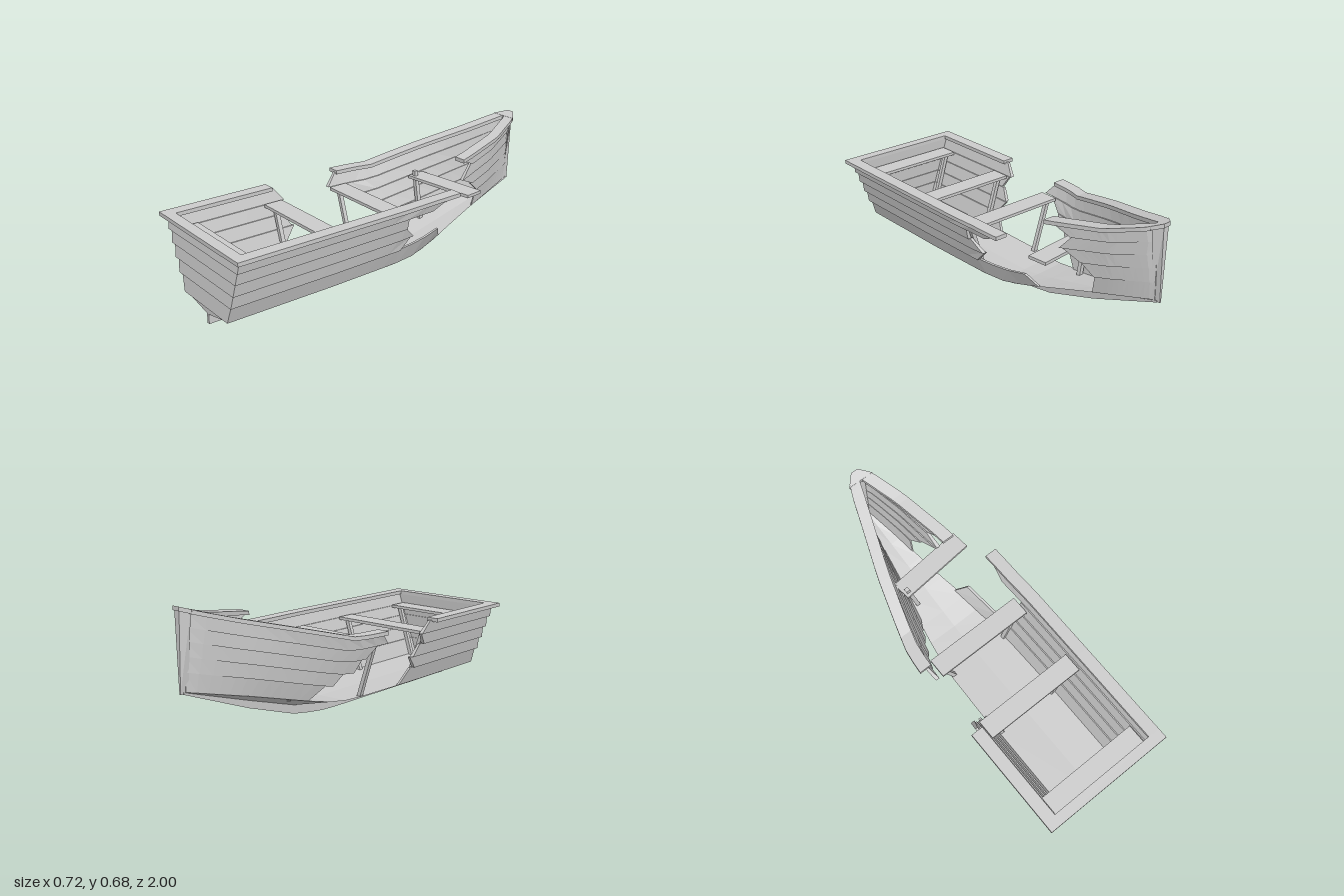
import * as THREE from 'three';

const mat = new THREE.MeshStandardMaterial({ color: 0xcccccc, flatShading: true });
const { lerp, clamp } = THREE.MathUtils;

// Piecewise linear lookup through [z, value] pairs, ordered from stern (+z) to bow (-z).
function along(table) {
  return z => {
    if (z >= table[0][0]) return table[0][1];
    for (let i = 1; i < table.length; i++) {
      const [z0, a] = table[i - 1], [z1, b] = table[i];
      if (z >= z1) return lerp(a, b, (z - z0) / (z1 - z0));
    }
    return table[table.length - 1][1];
  };
}

// Lines of the hull
const rimHalf = along([[0, 0.362], [-0.12, 0.352], [-0.3, 0.3], [-0.51, 0.235], [-0.76, 0.14], [-0.95, 0.07], [-1, 0.02]]);
const rimY = along([[-0.2, 0.455], [-0.45, 0.522], [-0.75, 0.6], [-0.95, 0.657], [-1, 0.675]]);
const chineHalf = along([[0.4, 0.2], [0, 0.19], [-0.15, 0.17], [-0.3, 0.145], [-0.5, 0.1], [-0.75, 0.055], [-0.98, 0.008]]);
const chineY = along([[-0.15, 0.09], [-0.35, 0.135], [-0.65, 0.212], [-0.98, 0.29]]);
const hullKeelY = along([[-0.1, 0.05], [-0.3, 0.075], [-0.6, 0.165], [-0.98, 0.285]]);
const keelY = along([[-0.05, 0], [-0.15, 0.008], [-0.3, 0.032], [-0.6, 0.13], [-0.98, 0.278]]);
const LEVELS = [0, 0.248, 0.445, 0.634, 0.811, 1];
const STATIONS = [0.97, 0.4, 0, -0.1, -0.2, -0.3, -0.45, -0.6, -0.75, -0.87, -0.98];

// Closed solid through rings of corner points, with capped ends
function loft(rings) {
  const tris = [], n = rings[0].length;
  for (let i = 0; i + 1 < rings.length; i++) {
    for (let j = 0; j < n; j++) {
      const k = (j + 1) % n, a = rings[i], b = rings[i + 1];
      tris.push([a[j], b[j], b[k]], [a[j], b[k], a[k]]);
    }
  }
  const end = rings[rings.length - 1];
  for (let j = 1; j + 1 < n; j++) {
    tris.push([rings[0][0], rings[0][j], rings[0][j + 1]], [end[0], end[j + 1], end[j]]);
  }
  const v = tris.map(t => t.map(p => new THREE.Vector3(...p)));
  const volume = v.reduce((s, [a, b, c]) => s + a.dot(b.clone().cross(c)), 0);
  if (volume < 0) v.forEach(t => t.reverse());
  const geo = new THREE.BufferGeometry().setFromPoints(v.flat());
  geo.computeVertexNormals();
  return geo;
}

// The broken right side is sprung: the stern part splays out, the bow part is pushed in and up.
function spring(x, y, z, f, side, part) {
  if (side > 0 && part === 'bow') {
    const k = clamp((z + 0.76) / 0.31, 0, 1) * f;
    x -= 0.05 * k;
    y += 0.033 * k;
  } else if (side > 0) {
    x += 0.05 * clamp((-0.1 - z) / 0.19, 0, 1) * f;
    y -= (rimY(z) - 0.455) * f;
  }
  return [side * x, y, z];
}

// Point on the planking at height fraction f, moved outward by out
function hullPoint(z, f, out, side, part) {
  const half = lerp(chineHalf(z), rimHalf(z) - 0.028, f);
  const y = lerp(chineY(z), rimY(z) - 0.012, f);
  return spring(Math.max(half + out * clamp(half / 0.15, 0.3, 1), 0.001), y, z, f, side, part);
}

// One overlapping plank between ragged ends given as [bottom z, top z]
function strake(row, from, to, side, part) {
  const f0 = LEVELS[row], f1 = LEVELS[row + 1], rings = [];
  for (let i = 0; i <= 12; i++) {
    const zb = lerp(from[0], to[0], i / 12), zt = lerp(from[1], to[1], i / 12);
    rings.push([
      hullPoint(zb, f0, row ? 0.007 : 0, side, part), hullPoint(zt, f1, -0.006, side, part),
      hullPoint(zt, f1, -0.02, side, part), hullPoint(zb, f0, -0.014, side, part),
    ]);
  }
  return loft(rings);
}

function gunwale(from, to, side, part) {
  const rings = [];
  for (let i = 0; i <= 14; i++) {
    const z = lerp(from, to, i / 14), outer = rimHalf(z), inner = Math.max(outer - 0.065, 0.002), y = rimY(z);
    rings.push([[inner, y - 0.02], [outer, y - 0.02], [outer, y], [inner, y]]
      .map(([x, h]) => spring(x, h, z, 1, side, part)));
  }
  return loft(rings);
}

export function createModel() {
  const boat = new THREE.Group();
  const add = (name, geo, parent = boat) => {
    const mesh = new THREE.Mesh(geo, mat);
    mesh.name = name;
    parent.add(mesh);
    return mesh;
  };
  const addGroup = name => {
    const g = new THREE.Group();
    g.name = name;
    boat.add(g);
    return g;
  };

  // Shallow V bottom with floor, and the keel under it
  add('bottom', loft(STATIONS.map(z => {
    const c = chineHalf(z), y = chineY(z), k = hullKeelY(z);
    return [[-c, y, z], [0, k, z], [c, y, z], [0, Math.max(y - 0.008, k + 0.003), z]];
  })));
  add('keel', loft(STATIONS.map(z => {
    const k = keelY(z), t = hullKeelY(z) + 0.003;
    return [[-0.008, k, z], [0.008, k, z], [0.008, t, z], [-0.008, t, z]];
  })));

  // Side planks: ragged ends around the hole, as [bottom z, top z] from the chine up
  const BREAKS = {
    right: {
      side: 1,
      stern: [[-0.35, -0.3], [0, -0.07], [-0.07, 0], [0, 0], [-0.15, -0.29]],
      bow: [[-0.65, -0.67], [-0.67, -0.6], [-0.61, -0.5], [-0.5, -0.57], [-0.57, -0.45]],
    },
    left: {
      side: -1,
      stern: [[0.3, 0.36], [0.38, 0.32], [0.33, 0.37], [0.39, 0.35], [0.34, 0.39]],
      bow: [[-0.33, -0.25], [-0.22, -0.17], [-0.12, -0.08], [-0.07, 0], [0.06, 0]],
    },
  };
  for (const [label, { side, stern, bow }] of Object.entries(BREAKS)) {
    const planks = addGroup(label === 'right' ? 'planksPlusX' : 'planksMinusX');
    for (let row = 0; row < 5; row++) {
      add('sternPlank', strake(row, [0.97, 0.97], stern[row], side, 'stern'), planks);
      add('bowPlank', strake(row, bow[row], [-0.97, -0.97], side, 'bow'), planks);
    }
  }

  // Transom of overlapping planks
  const transom = addGroup('transom');
  for (let row = 0; row < 5; row++) {
    const [wb, yb] = hullPoint(0.97, LEVELS[row], row ? 0.007 : 0, 1, 'stern');
    const [wt, yt] = hullPoint(0.97, LEVELS[row + 1], -0.006, 1, 'stern');
    add('transomPlank', loft([-1, 1].map(s => [
      [s * wb, yb, 0.98], [s * wt, yt, 0.971], [s * wt, yt, 0.95], [s * wb, yb, 0.955],
    ])), transom);
  }

  // Rim
  const rim = addGroup('gunwale');
  add('sternRim', new THREE.BoxGeometry(0.724, 0.02, 0.055), rim).position.set(0, 0.445, 0.9725);
  add('sternRimPlusX', gunwale(0.95, -0.29, 1, 'stern'), rim);
  add('bowRimPlusX', gunwale(-0.45, -0.96, 1, 'bow'), rim);
  add('sternRimMinusX', gunwale(0.95, 0.405, -1, 'stern'), rim);
  add('bowRimMinusX', gunwale(0, -0.96, -1, 'bow'), rim);
  add('bowCap', loft([0.637, 0.657].map((y, i) => [
    [-0.072, y, -0.945], [0.072, y, -0.945], [0.02, y + 0.018, -1], [-0.02, y + 0.018, -1],
  ])), rim);

  // Wedge-shaped stem, wide at the top
  add('stem', loft([[0.28, 0.008, 0.004], [0.655, 0.045, 0.016]].map(([y, back, front]) => [
    [-back, y, -0.955], [back, y, -0.955], [front, y, -0.995], [-front, y, -0.995],
  ])));

  // Thwarts, the foremost knocked askew
  const thwarts = addGroup('thwarts');
  for (const [x, z, width, turn] of [[0, 0.893, 0.565, 0], [0, 0.415, 0.56, 0], [0, 0.013, 0.545, 0], [0.053, -0.455, 0.425, 0.1]]) {
    const seat = add('thwart', new THREE.BoxGeometry(width, 0.016, 0.104), thwarts);
    seat.position.set(x, 0.376, z);
    seat.rotation.y = turn;
  }

  // Slanted ribs holding the thwarts
  const ribs = addGroup('ribs');
  const rib = (xb, yb, xt, yt, z) => add('rib', loft([[xb, yb], [xt, yt]].map(([x, y]) => [
    [x - 0.011, y, z - 0.011], [x + 0.011, y, z - 0.011], [x + 0.011, y, z + 0.011], [x - 0.011, y, z + 0.011],
  ])), ribs);
  for (const z of [0.893, 0.415, 0.013]) {
    for (const s of [-1, 1]) rib(s * 0.17, 0.085, s * 0.262, 0.37, z);
  }
  rib(-0.085, 0.14, -0.135, 0.41, -0.412);

  return boat;
}
